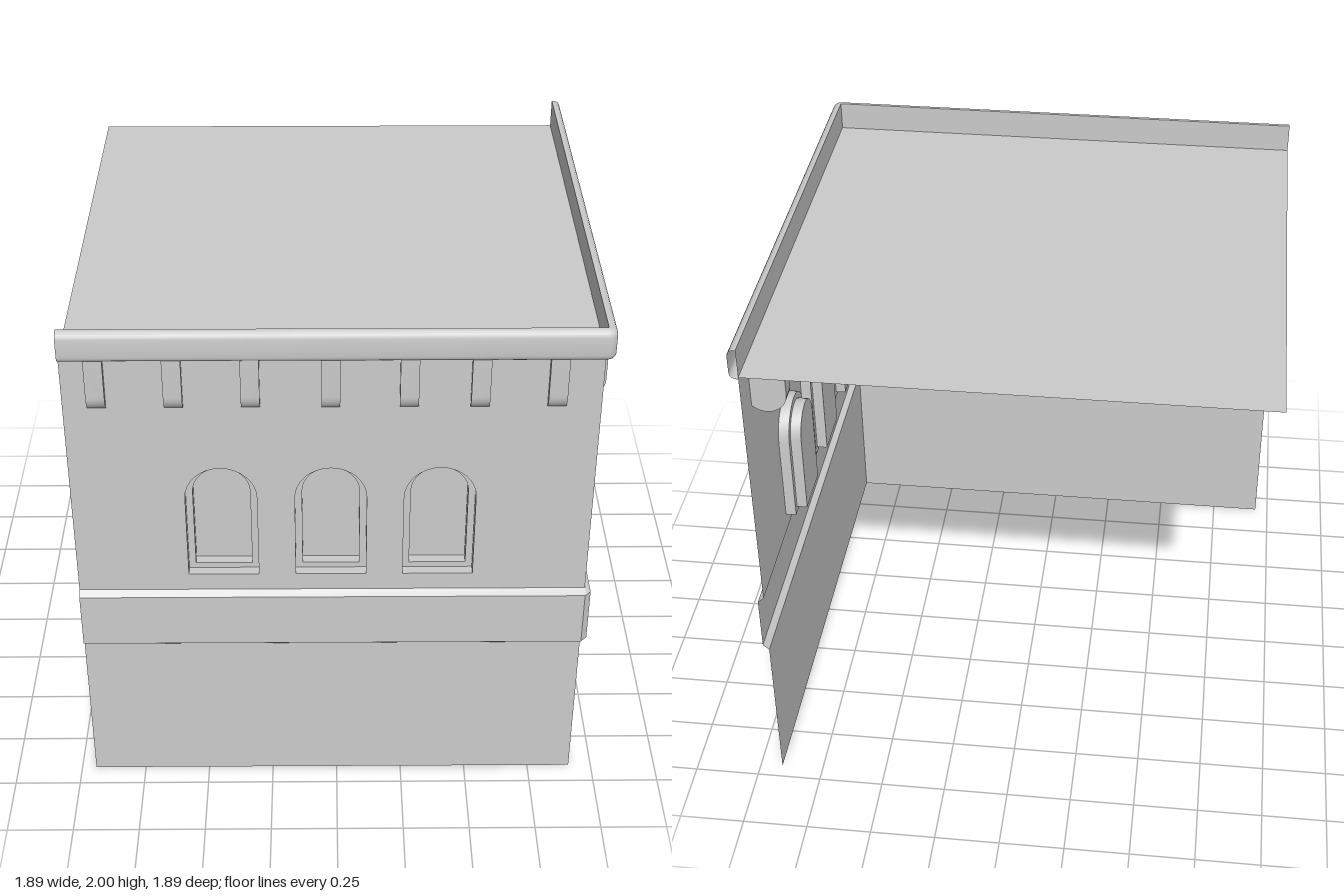
import * as THREE from 'three';
import { toCreasedNormals } from 'three/addons/utils/BufferGeometryUtils.js';

const WALL = 0.913;  // outer wall plane on +x and +z
const END = -0.945;  // open ends of the two walls

const material = new THREE.MeshStandardMaterial({ color: 0xcccccc, side: THREE.DoubleSide });

function addMesh(parent, name, geometry) {
  const mesh = new THREE.Mesh(geometry, material);
  mesh.name = name;
  parent.add(mesh);
  return mesh;
}

// Skin a list of equally long rows of points
function skin(rows, crease = 0.6) {
  const n = rows[0].length, index = [];
  for (let r = 0; r < rows.length - 1; r++) {
    for (let i = 0; i < n - 1; i++) {
      const a = r * n + i, b = a + 1, c = a + n, d = c + 1;
      index.push(a, b, d, a, d, c);
    }
  }
  const geometry = new THREE.BufferGeometry();
  geometry.setAttribute('position', new THREE.Float32BufferAttribute(rows.flat(2), 3));
  geometry.setIndex(index);
  return toCreasedNormals(geometry, crease);
}

// Sweep an [offset, y] profile along both walls, turning the corner in steps
function sweep(profile, steps) {
  return skin(profile.map(([o, y]) => {
    const row = [[END, y, WALL + o]];
    for (let i = 0; i <= steps; i++) {
      const a = (i / steps) * Math.PI / 2;
      row.push([WALL + o * Math.sin(a), y, WALL + o * Math.cos(a)]);
    }
    row.push([WALL + o, y, END]);
    return row;
  }));
}

// Counter-clockwise round-arched outline
function archPoints(cx, half, bottom, spring) {
  const points = [new THREE.Vector2(cx - half, bottom), new THREE.Vector2(cx + half, bottom)];
  for (let i = 0; i <= 16; i++) {
    const a = (i / 16) * Math.PI;
    points.push(new THREE.Vector2(cx + half * Math.cos(a), spring + half * Math.sin(a)));
  }
  return points;
}

function bracketGeometry() {
  // U-shaped side profile that passes through the wall
  const r = 0.075, z = 0.86, width = 0.065;
  const shape = new THREE.Shape();
  shape.moveTo(z + r, 1.89);
  shape.lineTo(z - r, 1.89);
  shape.lineTo(z - r, 1.74);
  shape.absarc(z, 1.74, r, Math.PI, Math.PI * 2, false);
  shape.closePath();
  const geometry = new THREE.ExtrudeGeometry(shape, { depth: width, bevelEnabled: false, curveSegments: 12 });
  geometry.translate(0, 0, -width / 2);
  geometry.rotateY(-Math.PI / 2);
  return toCreasedNormals(geometry, 0.6);
}

function createFacade(name) {
  const facade = new THREE.Group();
  facade.name = name;

  // Upper wall pierced by the windows
  const wall = new THREE.Shape([
    new THREE.Vector2(END, 0.89), new THREE.Vector2(WALL, 0.89),
    new THREE.Vector2(WALL, 1.89), new THREE.Vector2(END, 1.89),
  ]);

  for (const x of [-0.412, -0.021, 0.368]) {
    const outer = archPoints(x, 0.128, 0.96, 1.302);
    const inner = archPoints(x, 0.103, 0.982, 1.302);
    wall.holes.push(new THREE.Path(outer));

    // Stepped reveal and recessed pane
    const ring = (points, z) => [...points, points[0]].map((p) => [p.x, p.y, z]);
    addMesh(facade, 'windowReveal', skin([
      ring(inner, WALL - 0.08), ring(inner, WALL - 0.04),
      ring(outer, WALL - 0.04), ring(outer, WALL),
    ].reverse()));
    addMesh(facade, 'windowPane', new THREE.ShapeGeometry(new THREE.Shape(inner)))
      .position.z = WALL - 0.08;
  }
  addMesh(facade, 'upperWall', new THREE.ShapeGeometry(wall)).position.z = WALL;

  // Brackets under the cornice
  const bracket = bracketGeometry();
  for (const x of [-0.827, -0.562, -0.297, -0.021, 0.249, 0.493, 0.758]) {
    addMesh(facade, 'bracket', bracket).position.x = x;
  }
  return facade;
}

export function createModel() {
  const building = new THREE.Group();
  building.name = 'building';

  // Two matching facades meeting at the corner
  building.add(createFacade('frontFacade'));
  const side = createFacade('sideFacade');
  side.rotation.y = Math.PI / 2;
  side.position.z = WALL + END;
  building.add(side);

  // Lower wall and chamfered belt course
  addMesh(building, 'lowerWall', sweep([[0, 0], [0, 0.632]], 1));
  addMesh(building, 'beltCourse', sweep([[0, 0.632], [0.023, 0.652], [0.023, 0.87], [0, 0.89]], 1));

  // Rounded cornice with a flat inner parapet face
  const out = 0.032, r = 0.024, bottom = 1.883, profile = [[0, bottom]];
  for (let i = 0; i <= 4; i++) {
    const a = (i / 4) * Math.PI / 2;
    profile.push([out - r + r * Math.sin(a), bottom + r - r * Math.cos(a)]);
  }
  for (let i = 0; i <= 4; i++) {
    const a = (i / 4) * Math.PI / 2;
    profile.push([out - r + r * Math.cos(a), 2 - r + r * Math.sin(a)]);
  }
  profile.push([0, 2], [0, bottom]);
  addMesh(building, 'cornice', sweep(profile, 5));

  // Flat roof
  const roof = addMesh(building, 'roof', new THREE.PlaneGeometry(WALL - END, WALL - END));
  roof.rotation.x = -Math.PI / 2;
  roof.position.set((WALL + END) / 2, 1.89, (WALL + END) / 2);

  return building;
}
